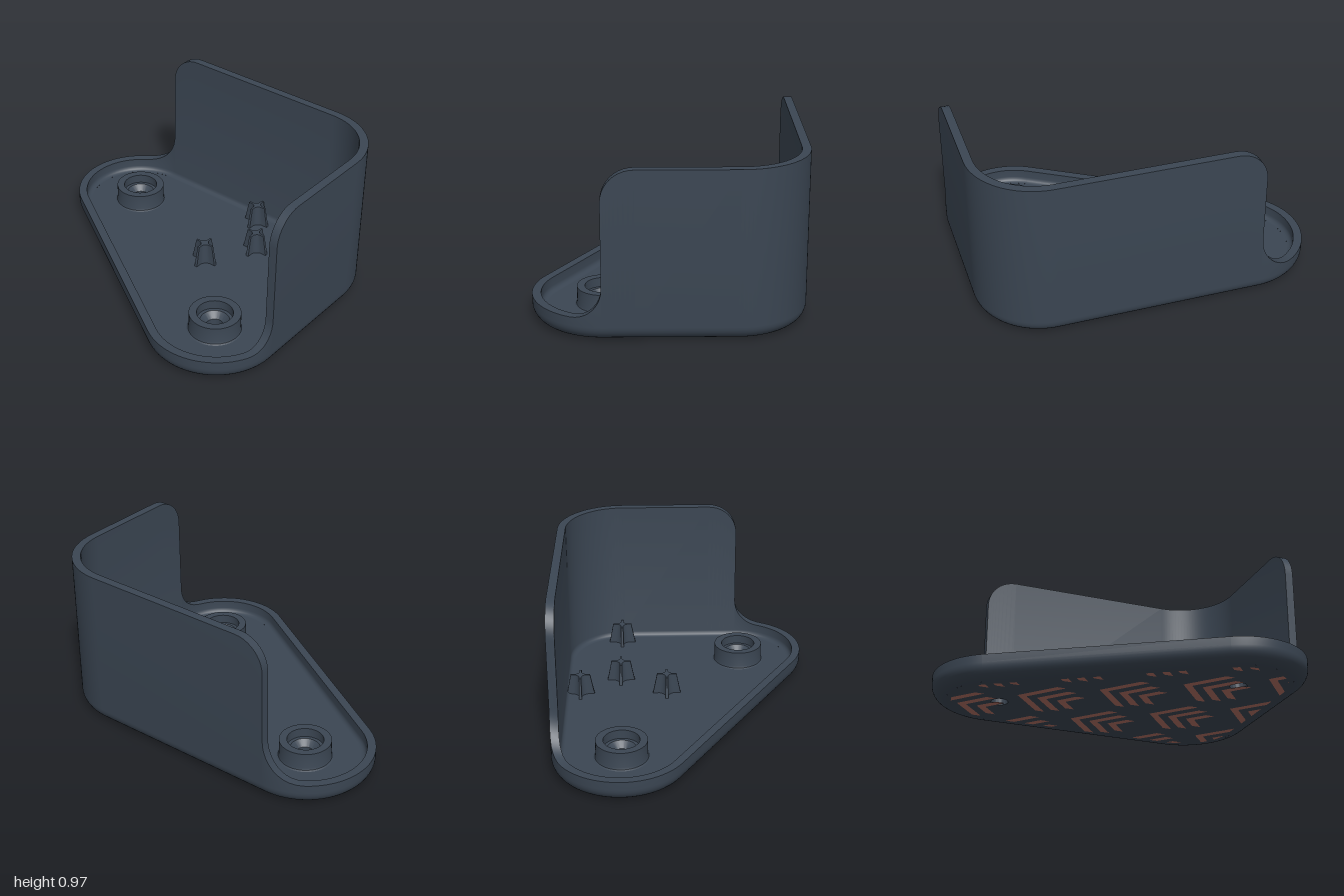
import * as THREE from 'three';
import { toCreasedNormals } from 'three/addons/utils/BufferGeometryUtils.js';

const R = 0.4;              // corner radius of the plan
const T = 0.05;             // wall thickness
const FLOOR = 0.055, RIM = 0.135, TOP = 0.97;
const A = [0.367, -0.6], B = [-0.367, 0.6], C = [0.367, 0.6];
const HALF = Math.PI / 2;
const SLANT = Math.PI + Math.atan2(0.734, 1.2);
const HOLES = [A, B];

// Rounded triangular plan, shrunk by an inset
function outline(inset) {
  const pts = [];
  for (const [c, from, to] of [[C, 0, HALF], [B, HALF, SLANT], [A, SLANT, 4 * HALF]]) {
    for (let i = 0; i <= 24; i++) {
      const a = from + (to - from) * i / 24;
      pts.push([c[0] + (R - inset) * Math.cos(a), c[1] + (R - inset) * Math.sin(a)]);
    }
  }
  return pts;
}

// Stations round the plan: arc centre, normal angle and wall height
function stations() {
  const list = [];
  const add = (x, z, a, h) => list.push({ x, z, a, h });
  const arc = (c, from, to, n, h) => {
    for (let i = 0; i <= n; i++) add(c[0], c[1], from + (to - from) * i / n, h);
  };
  const N = 10, round = 0.18, backR = 0.235, frontR = 0.17;
  // right wall: rounded upper corner, then the tall corner
  for (let i = 0; i <= N; i++) {
    const t = HALF * i / N;
    add(A[0], A[1] + round * (1 - Math.cos(t)), 0, TOP - round + round * Math.sin(t));
  }
  arc(C, 0, HALF, 28, TOP);
  // front wall: rounded upper corner, then the sweep down to the rim
  for (let i = N; i >= 0; i--) {
    const t = HALF * i / N;
    add(B[0] + round * (1 - Math.cos(t)), B[1], HALF, TOP - round + round * Math.sin(t));
  }
  const sweep = (r, i) => {
    const t = HALF * i / N;
    return [Math.asin(r * (1 - Math.cos(t)) / R), RIM + r - r * Math.sin(t)];
  };
  for (let i = 0; i <= N; i++) {
    const [d, h] = sweep(frontR, i);
    add(B[0], B[1], HALF + d, h);
  }
  // low rim along the slanted side
  arc(B, HALF + sweep(frontR, N)[0], SLANT, 24, RIM);
  arc(A, SLANT, 4 * HALF - sweep(backR, N)[0], 24, RIM);
  for (let i = N; i >= 0; i--) {
    const [d, h] = sweep(backR, i);
    add(A[0], A[1], 4 * HALF - d, h);
  }
  list.push(list[0]);
  return list;
}

// Wall cross-section as [inset, height], from underside over the top to the floor
function section(h) {
  const p = [], r = 0.085, f = 0.03;
  for (let i = 0; i <= 8; i++) {
    const t = HALF * i / 8;
    p.push([r - r * Math.sin(t), r - r * Math.cos(t)]);
  }
  p.push([0, h], [T, h]);
  for (let i = 0; i <= 4; i++) {
    const t = HALF * i / 4;
    p.push([T + f - f * Math.cos(t), FLOOR + f - f * Math.sin(t)]);
  }
  return p;
}

function wallGeometry() {
  const rings = stations().map(s => section(s.h).map(([inset, y]) => new THREE.Vector3(
    s.x + (R - inset) * Math.cos(s.a), y, s.z + (R - inset) * Math.sin(s.a))));
  const pos = [];
  const tri = (a, b, c) => {
    const area = b.clone().sub(a).cross(c.clone().sub(a)).length();
    if (area > 1e-9) for (const v of [a, b, c]) pos.push(v.x, v.y, v.z);
  };
  for (let i = 0; i < rings.length - 1; i++) {
    const a = rings[i], b = rings[i + 1];
    for (let j = 0; j < a.length - 1; j++) {
      tri(a[j], a[j + 1], b[j]);
      tri(b[j], a[j + 1], b[j + 1]);
    }
  }
  const g = new THREE.BufferGeometry();
  g.setAttribute('position', new THREE.Float32BufferAttribute(pos, 3));
  return toCreasedNormals(g, 0.6);
}

// Flat sheet with two round holes, facing up or down
function sheetGeometry(inset, y, up, holeRadius) {
  const k = up ? -1 : 1;
  const shape = new THREE.Shape(outline(inset).map(([x, z]) => new THREE.Vector2(x, k * z)));
  for (const [x, z] of HOLES) {
    shape.holes.push(new THREE.Path().absarc(x, k * z, holeRadius, 0, Math.PI * 2, true));
  }
  return new THREE.ShapeGeometry(shape, 24).rotateX(k * HALF).translate(0, y, 0);
}

// Four-finned post, tapering upward
function postGeometry() {
  const w = 0.009, r = 0.085, core = 0.045, height = 0.13;
  const shape = new THREE.Shape();
  for (let i = 0; i < 4; i++) {
    const c = Math.round(Math.cos(i * HALF)), s = Math.round(Math.sin(i * HALF));
    const at = (x, y) => [x * c - y * s, x * s + y * c];
    if (i === 0) shape.moveTo(...at(r, -w)); else shape.lineTo(...at(r, -w));
    shape.lineTo(...at(r, w));
    shape.lineTo(...at(core, w));
    shape.quadraticCurveTo(...at(0.018, 0.018), ...at(w, core));
  }
  const g = new THREE.ExtrudeGeometry(shape, { depth: height, bevelEnabled: false, curveSegments: 6 });
  g.rotateX(-HALF);
  const p = g.attributes.position;
  for (let i = 0; i < p.count; i++) {
    const k = 1 - 0.3 * p.getY(i) / height;
    p.setX(i, p.getX(i) * k);
    p.setZ(i, p.getZ(i) * k);
  }
  return toCreasedNormals(g, 0.6);
}

// Clip a polygon to a convex boundary
function clip(poly, border) {
  for (let i = 0; i < border.length && poly.length; i++) {
    const a = border[i], b = border[(i + 1) % border.length];
    const side = p => (b[0] - a[0]) * (p[1] - a[1]) - (b[1] - a[1]) * (p[0] - a[0]);
    const out = [];
    poly.forEach((p, n) => {
      const q = poly[(n + 1) % poly.length], sp = side(p), sq = side(q);
      if (sp >= 0) out.push(p);
      if ((sp >= 0) !== (sq >= 0)) {
        const t = sp / (sp - sq);
        out.push([p[0] + (q[0] - p[0]) * t, p[1] + (q[1] - p[1]) * t]);
      }
    });
    poly = out;
  }
  return poly;
}

// Staggered rows of nested chevrons, trimmed to the underside
function treadGeometry() {
  const border = outline(0.115), shapes = [], thick = 0.055, slope = 0.87;
  for (let row = 0; row < 5; row++) {
    for (let col = -3; col <= 2; col++) {
      const x = (row % 2 ? 0.22 : 0.47) + col * 0.5, z = -0.95 + row * 0.415;
      [0.2, 0.155, 0.1].forEach((w, n) => {
        const z0 = z + n * 0.12;
        for (const s of [-1, 1]) {
          const arm = clip([[x, z0], [x + s * w, z0 + slope * w],
            [x + s * w, z0 + slope * w + thick], [x, z0 + thick]], border);
          if (arm.length > 2) shapes.push(new THREE.Shape(arm.map(p => new THREE.Vector2(...p))));
        }
      });
    }
  }
  return new THREE.ShapeGeometry(shapes).rotateX(HALF).translate(0, -0.002, 0);
}

export function createModel() {
  const group = new THREE.Group();
  const slate = new THREE.MeshStandardMaterial({ color: 0x3b4653 });
  slate.name = 'slate';
  const clay = new THREE.MeshStandardMaterial({ color: 0xb06f62 });
  clay.name = 'clay';
  const add = (name, geometry, material = slate) => {
    const mesh = new THREE.Mesh(geometry, material);
    mesh.name = name;
    group.add(mesh);
    return mesh;
  };

  add('wall', wallGeometry());
  add('underside', sheetGeometry(0.085, 0, false, 0.05));
  add('floor', sheetGeometry(T + 0.03, FLOOR, true, 0.15));
  add('treadPattern', treadGeometry(), clay);

  // screw bosses with a stepped through hole
  const profile = [[0.165, 0.054], [0.154, 0.06], [0.15, 0.072], [0.15, 0.165], [0.105, 0.165],
    [0.105, 0.11], [0.085, 0.11], [0.05, 0.075], [0.05, 0]].map(p => new THREE.Vector2(...p));
  const boss = toCreasedNormals(new THREE.LatheGeometry(profile, 48), 0.5);
  for (const [x, z] of HOLES) add('screwBoss', boss).position.set(x, 0, z);

  // finned support posts
  const post = postGeometry();
  for (const [x, z] of [[0.1, 0.15], [0.632, 0.15], [0.385, 0.325], [0.385, 0.86]]) {
    add('supportPost', post).position.set(x, FLOOR, z);
  }
  return group;
}
